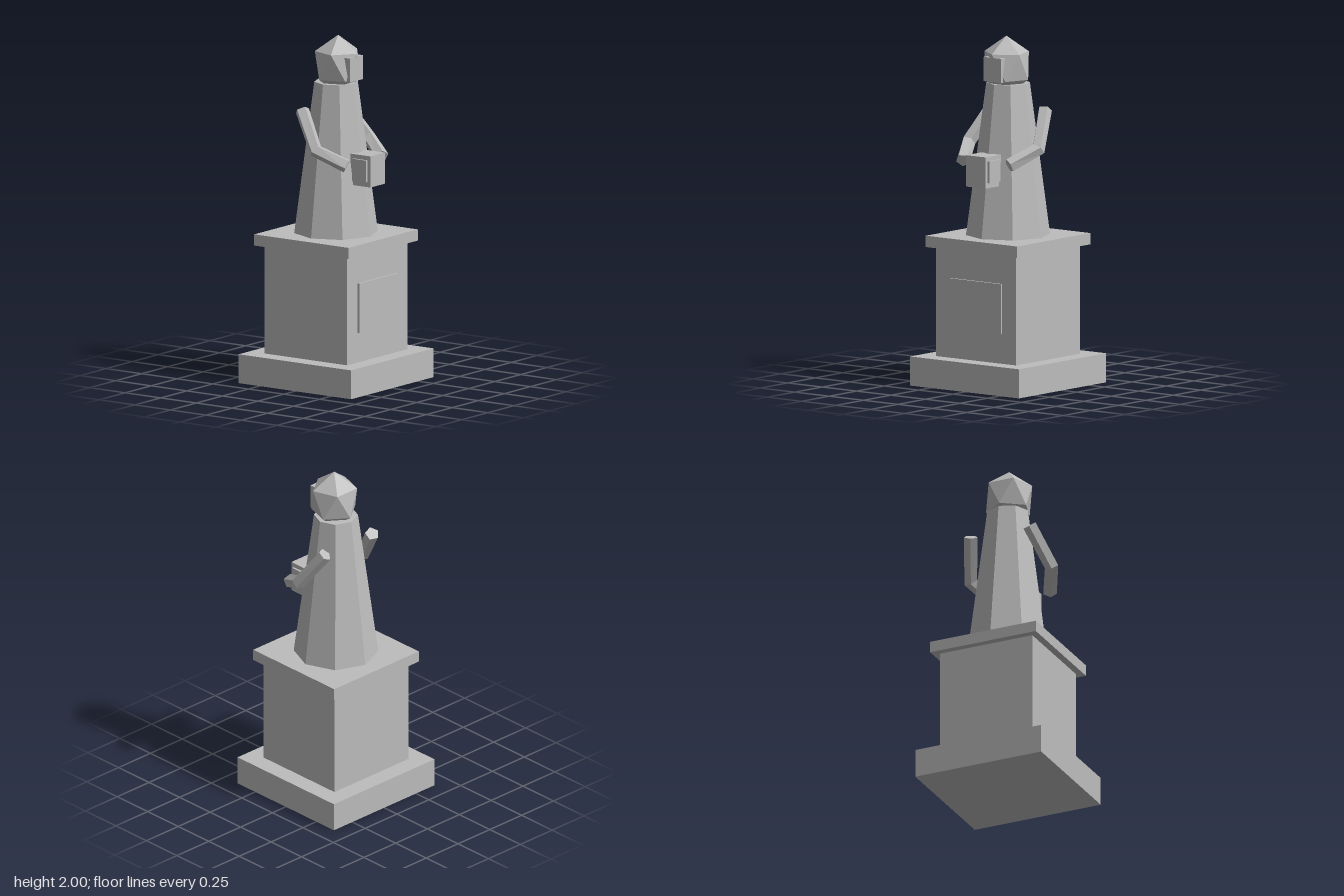
import * as THREE from 'three';

const stone = new THREE.MeshStandardMaterial({ color: 0xbcbcbc, flatShading: true });
stone.name = 'stone';

// Capped five-sided limb swept through a few joints
function limbGeometry(joints, radius, sides = 5) {
  const rings = joints.map((c, i) => {
    const t = new THREE.Vector3();
    if (i > 0) t.add(c.clone().sub(joints[i - 1]).normalize());
    if (i < joints.length - 1) t.add(joints[i + 1].clone().sub(c).normalize());
    t.normalize();
    const u = new THREE.Vector3(0, 0, 1).addScaledVector(t, -t.z).normalize();
    const w = t.clone().cross(u);
    return Array.from({ length: sides }, (_, j) => {
      const a = (j / sides) * Math.PI * 2;
      return c.clone().addScaledVector(u, radius * Math.cos(a)).addScaledVector(w, radius * Math.sin(a));
    });
  });
  const points = [];
  const last = rings.length - 1;
  for (let j = 0; j < sides; j++) {
    const k = (j + 1) % sides;
    for (let i = 0; i < last; i++) {
      const a = rings[i], b = rings[i + 1];
      points.push(a[j], a[k], b[k], a[j], b[k], b[j]);
    }
    points.push(joints[0], rings[0][k], rings[0][j]);
    points.push(joints[last], rings[last][j], rings[last][k]);
  }
  const geometry = new THREE.BufferGeometry().setFromPoints(points);
  geometry.computeVertexNormals();
  return geometry;
}

export function createModel() {
  const model = new THREE.Group();
  model.name = 'statueOnPedestal';

  const add = (name, geometry, x = 0, y = 0, z = 0) => {
    const mesh = new THREE.Mesh(geometry, stone);
    mesh.name = name;
    mesh.position.set(x, y, z);
    model.add(mesh);
    return mesh;
  };
  // Box given by its x and y limits and its depth about z = 0
  const box = (name, x0, x1, y0, y1, depth) =>
    add(name, new THREE.BoxGeometry(x1 - x0, y1 - y0, depth), (x0 + x1) / 2, (y0 + y1) / 2);

  // Pedestal
  box('pedestalBase', -0.395, 0.395, 0, 0.167, 0.79);
  box('pedestalBlock', -0.29, 0.29, 0.167, 0.793, 0.58);
  box('pedestalCap', -0.332, 0.332, 0.793, 0.858, 0.664);
  box('plaque', 0.28, 0.303, 0.338, 0.625, 0.38);

  // Robe: tapered octagon
  add('robe', new THREE.CylinderGeometry(0.125, 0.24, 0.872, 8), 0, 1.294);

  // Head: tall icosahedron standing on a corner, with the face towards +x
  const head = new THREE.IcosahedronGeometry(0.148, 0);
  head.rotateZ(-Math.atan(2 / (1 + Math.sqrt(5))));
  head.scale(1, 1.155, 1);
  add('head', head, 0.015, 1.829);
  box('face', 0.107, 0.143, 1.748, 1.887, 0.126);

  // Bent arms
  for (const side of [1, -1]) {
    const joints = [[-0.103, 1.58, 0.185], [0.042, 1.374, 0.253], [0.199, 1.29, 0.168]]
      .map(([x, y, z]) => new THREE.Vector3(x, y, z * side));
    add(side > 0 ? 'rightArm' : 'leftArm', limbGeometry(joints, 0.041));
  }

  // Held box with a raised panel on each side
  box('heldBox', 0.153, 0.293, 1.16, 1.34, 0.14);
  box('heldBoxPanels', 0.174, 0.272, 1.19, 1.315, 0.166);

  return model;
}
